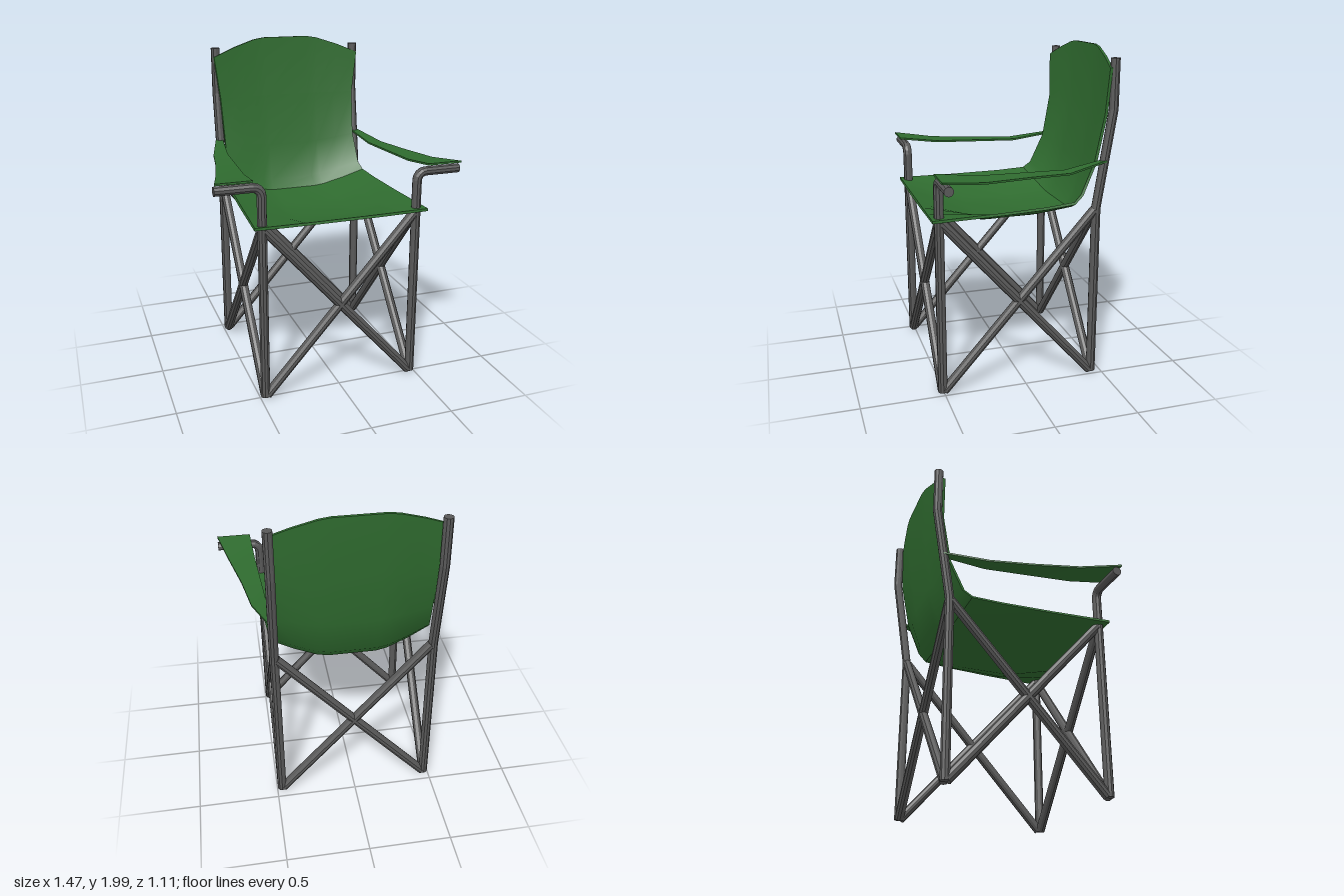
import * as THREE from 'three';
import { toCreasedNormals } from 'three/addons/utils/BufferGeometryUtils.js';

const metal = new THREE.MeshStandardMaterial({ color: 0x585858, flatShading: true });
metal.name = 'grey metal';
const fabric = new THREE.MeshStandardMaterial({ color: 0x2f6b2f });
fabric.name = 'green fabric';

const V = (x, y, z) => new THREE.Vector3(x, y, z);

function makeGeometry(points, index) {
  const g = new THREE.BufferGeometry().setFromPoints(points);
  g.setIndex(index);
  g.computeVertexNormals();
  return g;
}

// Capped pole swept along a path lying in the plane with the given normal
function pole(name, path, normal, radius = 0.028, sides = 10) {
  const points = [], index = [];
  path.forEach((p, i) => {
    const t = V(0, 0, 0);
    if (i > 0) t.add(p.clone().sub(path[i - 1]).normalize());
    if (i < path.length - 1) t.add(path[i + 1].clone().sub(p).normalize());
    const side = t.normalize().cross(normal);
    for (let k = 0; k < sides; k++) {
      const a = ((k + 0.5) / sides) * Math.PI * 2;
      points.push(p.clone().addScaledVector(normal, radius * Math.cos(a)).addScaledVector(side, radius * Math.sin(a)));
    }
  });
  const last = (path.length - 1) * sides;
  for (let k = 0; k < sides; k++) {
    const n = (k + 1) % sides;
    for (let r = 0; r < last; r += sides) {
      index.push(r + k, r + n, r + sides + n, r + k, r + sides + n, r + sides + k);
    }
    index.push(last + sides, n, k, last + sides + 1, last + k, last + n);
  }
  points.push(path[0].clone(), path[path.length - 1].clone());
  const mesh = new THREE.Mesh(makeGeometry(points, index), metal);
  mesh.name = name;
  return mesh;
}

// Thick cloth from rows of points (rows run front to back, points run from -x to +x)
function cloth(name, rows, thickness) {
  const w = rows[0].length, h = rows.length, mid = rows.flat(), top = [];
  for (let r = 0; r < h - 1; r++) {
    for (let c = 0; c < w - 1; c++) {
      const a = r * w + c, b = a + w;
      top.push(a, a + 1, b + 1, a, b + 1, b);
    }
  }
  const normals = makeGeometry(mid, top).attributes.normal;
  const shift = (d) => mid.map((p, i) => p.clone().addScaledVector(V(0, 0, 0).fromBufferAttribute(normals, i), d));
  const n = mid.length, index = [...top];
  for (let i = 0; i < top.length; i += 3) index.push(top[i] + n, top[i + 2] + n, top[i + 1] + n);
  // Hem around the border
  const border = [];
  for (let c = 0; c < w - 1; c++) border.push(c);
  for (let r = 0; r < h - 1; r++) border.push(r * w + w - 1);
  for (let c = w - 1; c > 0; c--) border.push((h - 1) * w + c);
  for (let r = h - 1; r > 0; r--) border.push(r * w);
  border.forEach((p, i) => {
    const q = border[(i + 1) % border.length];
    index.push(p, p + n, q + n, p, q + n, q);
  });
  const g = makeGeometry([...shift(thickness / 2), ...shift(-thickness / 2)], index);
  const mesh = new THREE.Mesh(toCreasedNormals(g, 0.6), fabric);
  mesh.name = name;
  return mesh;
}

export function createModel() {
  const chair = new THREE.Group();
  chair.name = 'foldingChair';
  const X = V(1, 0, 0), Z = V(0, 0, 1);
  const px = 0.47, front = 0.51, back = -0.435;

  for (const [side, s] of [['left', 1], ['right', -1]]) {
    // Front leg bending outward into the arm support
    const path = [V(s * px, 0.015, front)];
    for (let i = 0; i <= 4; i++) {
      const a = (i / 4) * Math.PI / 2;
      path.push(V(s * (px + 0.05 * (1 - Math.cos(a))), 1.257 + 0.05 * Math.sin(a), front));
    }
    path.push(V(s * 0.735, 1.307, front));
    chair.add(pole(side + 'FrontLeg', path, Z));

    // Back leg leaning into the backrest post
    chair.add(pole(side + 'BackPost',
      [V(s * px, 0.015, back), V(s * px, 1.07, back), V(s * px, 1.65, -0.525), V(s * px, 1.94, -0.525)], X));

    // Crossed side braces
    chair.add(pole(side + 'SideBraceRising', [V(s * px, 0.02, front - 0.01), V(s * px, 1.06, back + 0.01)], X));
    chair.add(pole(side + 'SideBraceFalling', [V(s * px, 1.06, front - 0.01), V(s * px, 0.02, back + 0.01)], X));

    // Armrest strap: z, y, inner x, outer x
    const arm = [
      [0.545, 1.353, 0.525, 0.735], [0.3, 1.322, 0.512, 0.675], [0.02, 1.316, 0.495, 0.612],
      [-0.23, 1.311, 0.48, 0.57], [-0.49, 1.353, 0.452, 0.495],
    ].map(([z, y, a, b]) => [V(s * a, y, z), V(s * b, y, z)].sort((p, q) => p.x - q.x));
    chair.add(cloth(side + 'Armrest', arm, 0.011));
  }

  // Crossed front and back braces
  for (const [name, z] of [['front', front], ['back', back]]) {
    for (const s of [1, -1]) {
      chair.add(pole(name + 'Brace' + (s > 0 ? 'Rising' : 'Falling'),
        [V(-s * 0.46, 0.02, z), V(s * 0.46, 1.06, z)], Z));
    }
  }

  // Sling seat and backrest: centre y, z, then edge x, y, z
  const profile = [
    [1.08, 0.557, 0.525, 1.083, 0.557], [0.979, 0.2, 0.505, 1.087, 0.2],
    [0.977, -0.12, 0.487, 1.095, -0.12], [1.005, -0.36, 0.475, 1.108, -0.3],
    [1.07, -0.42, 0.46, 1.15, -0.35], [1.3, -0.468, 0.447, 1.34, -0.435],
    [1.62, -0.52, 0.456, 1.62, -0.487], [1.995, -0.537, 0.488, 1.885, -0.495],
  ];
  // Sag across the width: fraction of half width, amount of sag
  const sag = [[-1, 0], [-0.72, 0.5], [-0.44, 0.9], [-0.3, 1], [0.3, 1], [0.44, 0.9], [0.72, 0.5], [1, 0]];
  const rows = profile.map(([cy, cz, ex, ey, ez]) => sag.map(([u, k]) =>
    V(u * ex, ey + (cy - ey) * k, ez + (cz - ez) * k)));
  chair.add(cloth('seatAndBackrest', rows, 0.016));

  return chair;
}
